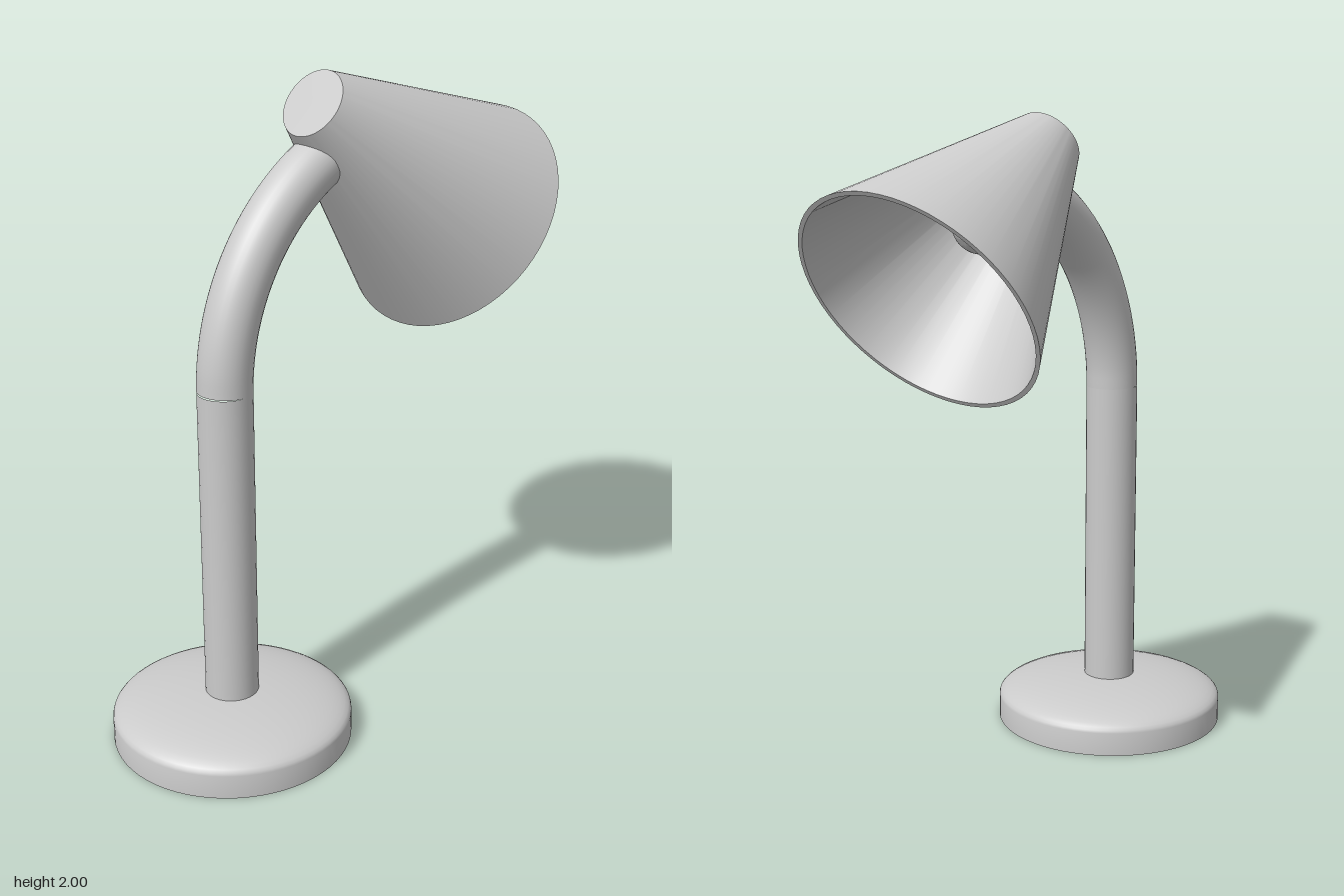
import * as THREE from 'three';
import { toCreasedNormals } from 'three/addons/utils/BufferGeometryUtils.js';

const material = new THREE.MeshStandardMaterial({ color: 0xcccccc });

function addMesh(parent, geometry, name) {
  const mesh = new THREE.Mesh(geometry, material);
  mesh.name = name;
  parent.add(mesh);
  return mesh;
}

// Turned solid from [radius, height] pairs, keeping sharp corners
function turned(pairs, segments = 64) {
  const points = pairs.map(([r, y]) => new THREE.Vector2(r, y));
  return toCreasedNormals(new THREE.LatheGeometry(points, segments), 0.6);
}

export function createModel() {
  const lamp = new THREE.Group();
  lamp.name = 'deskLamp';
  const poleZ = 0.405;

  // Base: short drum with a shallow elliptical dome
  const baseR = 0.37, drumH = 0.075, domeH = 0.075;
  const baseProfile = [[0, 0], [baseR, 0], [baseR, drumH]];
  for (let i = 1; i <= 14; i++) {
    const a = (i / 14) * Math.PI / 2;
    baseProfile.push([i === 14 ? 0 : baseR * Math.cos(a), drumH + domeH * Math.sin(a)]);
  }
  addMesh(lamp, turned(baseProfile), 'base').position.z = poleZ;

  // Arm: straight pole that bends towards the shade along a circular arc
  const armR = 0.0825, bendR = 0.69, bendY = 1.13, bendAngle = 1.09;
  const pole = new THREE.CylinderGeometry(armR, armR, bendY - 0.1, 32, 1, true);
  addMesh(lamp, pole, 'pole').position.set(0, (bendY + 0.1) / 2, poleZ);

  const bendPoints = [];
  for (let i = 0; i <= 12; i++) {
    const a = (i / 12) * bendAngle;
    bendPoints.push(new THREE.Vector3(0, bendY + bendR * Math.sin(a), poleZ - bendR * (1 - Math.cos(a))));
  }
  const bend = new THREE.CatmullRomCurve3(bendPoints);
  addMesh(lamp, new THREE.TubeGeometry(bend, 40, armR, 32), 'armBend');

  // Flat end of the arm inside the shade
  const armEnd = addMesh(lamp, new THREE.CircleGeometry(armR, 32), 'armEnd');
  armEnd.position.copy(bend.getPoint(1));
  armEnd.lookAt(armEnd.position.clone().add(bend.getTangent(1)));

  // Head: local +y runs from the closed tip of the shade to its open rim
  const tip = new THREE.Vector3(0, 1.913, 0.055);
  const rim = new THREE.Vector3(0, 1.486, -0.545);
  const axis = rim.clone().sub(tip);
  const length = axis.length();
  const head = new THREE.Group();
  head.name = 'lampHead';
  head.position.copy(tip);
  head.quaternion.setFromUnitVectors(new THREE.Vector3(0, 1, 0), axis.normalize());
  lamp.add(head);

  // Shade: hollow cone with a thin wall
  const tipR = 0.106, rimR = 0.388, wall = 0.014;
  addMesh(head, turned([
    [0, 0], [tipR, 0], [rimR, length], [rimR - wall, length], [tipR - wall, wall], [0, wall],
  ]), 'shade');

  // Bulb: round-ended cylinder on the shade axis
  const bulbR = 0.088, bulbStart = 0.03, domeCentre = 0.385;
  const bulbProfile = [[0, bulbStart], [bulbR, bulbStart]];
  for (let i = 0; i <= 12; i++) {
    const a = (i / 12) * Math.PI / 2;
    bulbProfile.push([i === 12 ? 0 : bulbR * Math.cos(a), domeCentre + bulbR * Math.sin(a)]);
  }
  addMesh(head, turned(bulbProfile, 32), 'bulb');

  return lamp;
}
